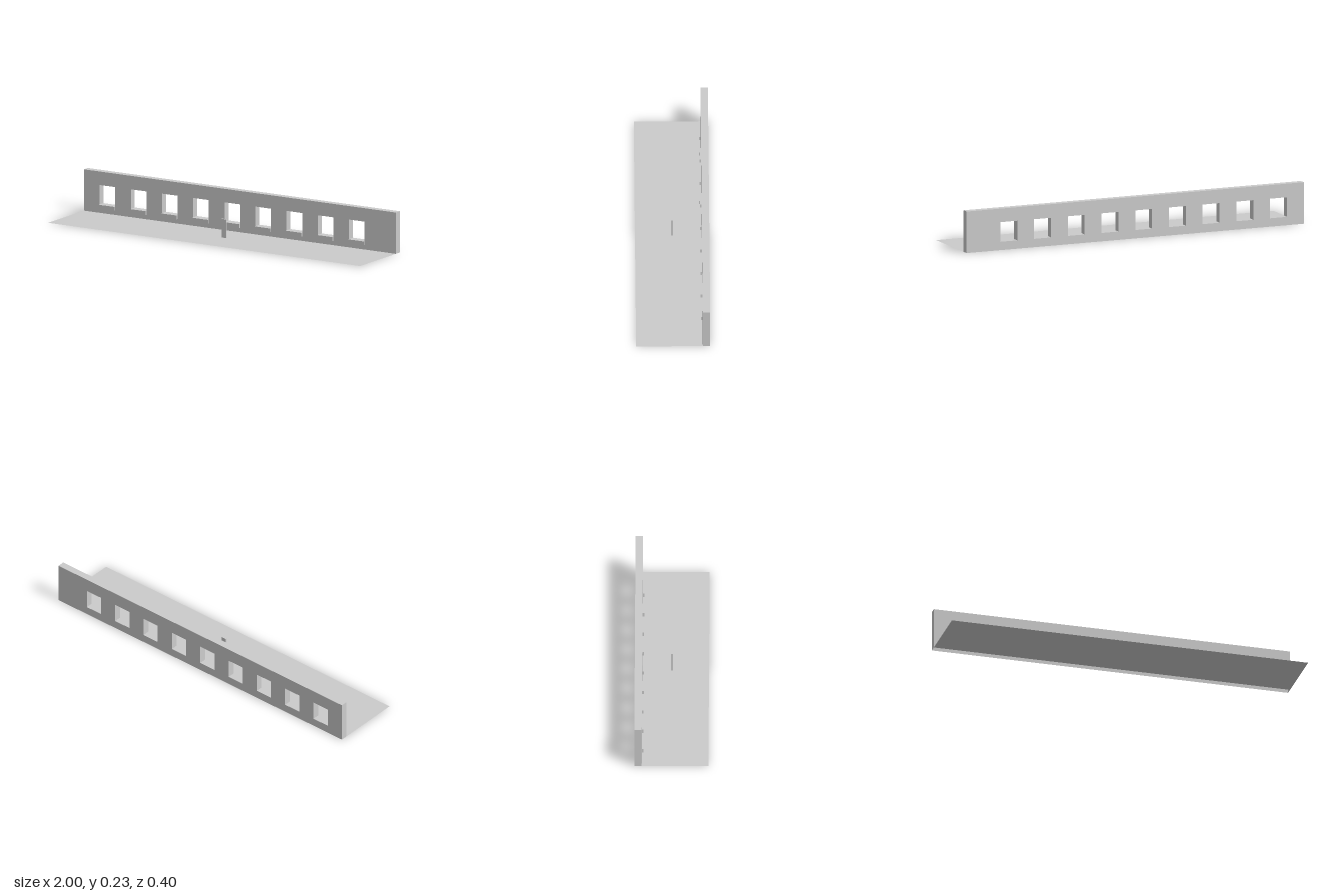
import * as THREE from 'three';

const material = new THREE.MeshStandardMaterial({ color: 0xcccccc, flatShading: true, side: THREE.DoubleSide });

const WALL = { height: 0.2286, back: -0.2, depth: 0.04 };
const WINDOW = { count: 9, first: -0.85, step: 0.2, width: 0.1, bottom: 0.046, top: 0.154 };
const wallFront = WALL.back + WALL.depth;

function rectangle(PathType, x0, y0, x1, y1) {
  return new PathType([[x0, y0], [x1, y0], [x1, y1], [x0, y1]].map(([x, y]) => new THREE.Vector2(x, y)));
}

function add(group, name, geometry, x = 0, y = 0, z = 0) {
  const mesh = new THREE.Mesh(geometry, material);
  mesh.name = name;
  mesh.position.set(x, y, z);
  group.add(mesh);
  return mesh;
}

// Hollow wall shell: an extruded outline with its underside left open
function wallGeometry(windowCentres) {
  const outline = rectangle(THREE.Shape, -1, 0, 1, WALL.height);
  for (const x of windowCentres) {
    outline.holes.push(rectangle(THREE.Path, x - WINDOW.width / 2, WINDOW.bottom, x + WINDOW.width / 2, WINDOW.top));
  }
  const solid = new THREE.ExtrudeGeometry(outline, { depth: WALL.depth, bevelEnabled: false });
  const source = solid.getAttribute('position').array;
  const kept = [];
  for (let i = 0; i < source.length; i += 9) {
    const onGround = [1, 4, 7].every((k) => Math.abs(source[i + k]) < 1e-6);
    if (!onGround) kept.push(...source.slice(i, i + 9));
  }
  const geometry = new THREE.BufferGeometry();
  geometry.setAttribute('position', new THREE.Float32BufferAttribute(kept, 3));
  geometry.computeVertexNormals();
  return geometry;
}

export function createModel() {
  const model = new THREE.Group();
  model.name = 'windowedWall';
  const centres = Array.from({ length: WINDOW.count }, (_, i) => WINDOW.first + i * WINDOW.step);

  // Wall with a row of square windows
  add(model, 'wall', wallGeometry(centres), 0, 0, WALL.back);

  // Sill under each window
  const sills = new THREE.Group();
  sills.name = 'windowSills';
  const sillBottom = 0.025, sillDepth = 0.0086;
  const sillHeight = WINDOW.bottom - sillBottom;
  const sill = new THREE.BoxGeometry(WINDOW.width, sillHeight, sillDepth);
  for (const x of centres) {
    add(sills, 'windowSill', sill, x, sillBottom + sillHeight / 2, wallFront + sillDepth / 2);
  }
  model.add(sills);

  // Thin floor sheet in front of the wall
  const floorDepth = 0.2 - wallFront;
  const floor = new THREE.PlaneGeometry(2, floorDepth).rotateX(-Math.PI / 2);
  add(model, 'floor', floor, 0, 0, wallFront + floorDepth / 2);

  // Small upright post at the centre
  add(model, 'post', new THREE.BoxGeometry(0.0286, 0.103, 0.0086), 0, 0.0515, 0);

  return model;
}
